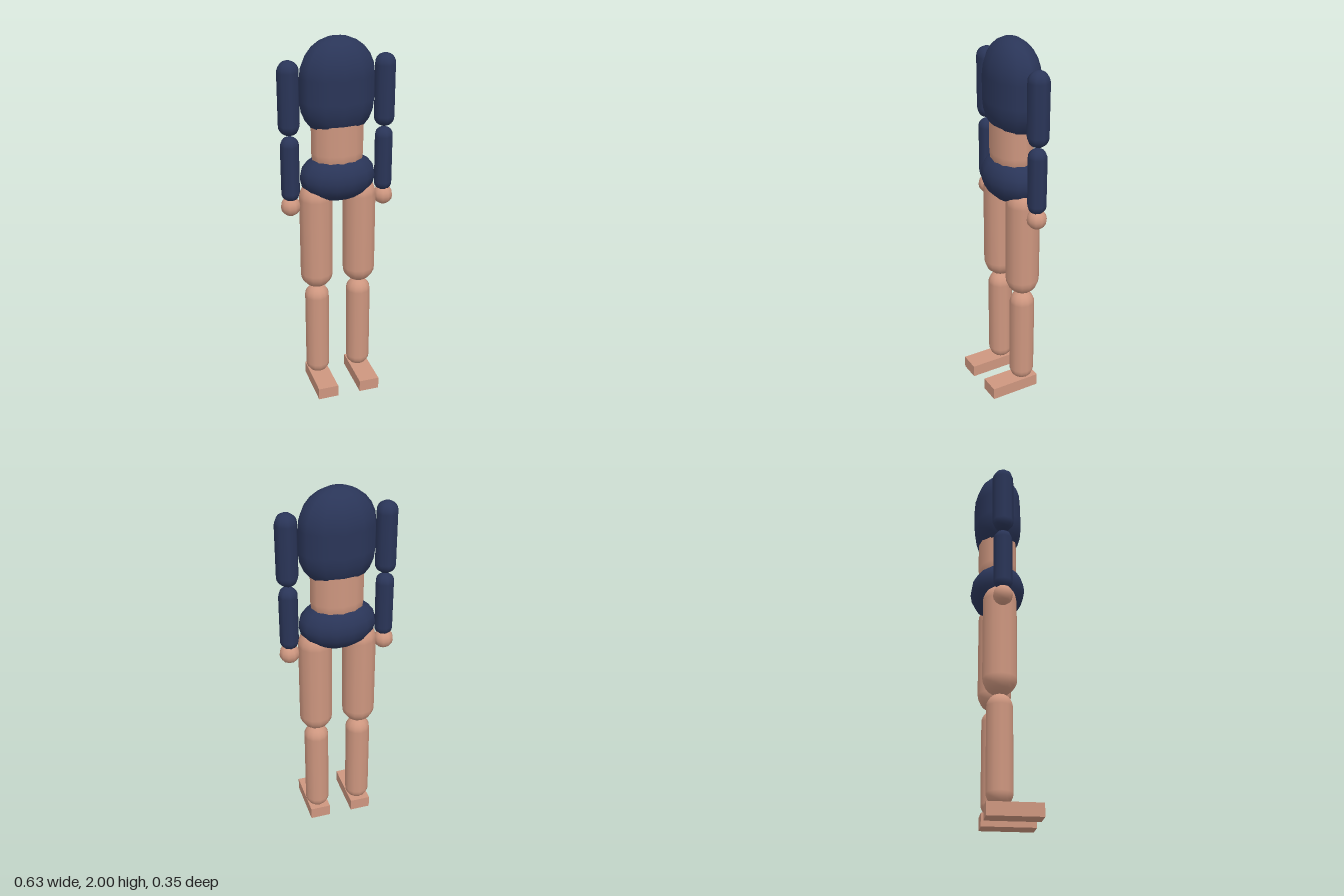
import * as THREE from 'three';

const AXIS_Z = -0.034; // depth of the body's centre line

export function createModel() {
  const model = new THREE.Group();
  const navy = new THREE.MeshStandardMaterial({ color: 0x2a3558 });
  const skin = new THREE.MeshStandardMaterial({ color: 0xcd967f });

  const add = (name, geometry, material, x, y, z = AXIS_Z) => {
    const mesh = new THREE.Mesh(geometry, material);
    mesh.name = name;
    mesh.position.set(x, y, z);
    model.add(mesh);
    return mesh;
  };

  // Round-ended limb or body section spanning bottom..top
  const capsule = (name, material, x, radius, bottom, top, sides) =>
    add(name, new THREE.CapsuleGeometry(radius, top - bottom - 2 * radius, 6, sides),
      material, x, (bottom + top) / 2);

  // Trunk: flattened front to back
  capsule('chest', navy, 0, 0.2, 1.48, 2, 12).scale.z = 0.66;
  capsule('waist', skin, 0, 0.142, 1.26, 1.7, 12).scale.z = 0.74;
  add('hips', new THREE.SphereGeometry(1, 14, 10), navy, 0, 1.265)
    .scale.set(0.205, 0.135, 0.147);

  // Arms and legs, mirrored
  for (const [side, s] of [['left', 1], ['right', -1]]) {
    capsule(side + 'UpperArm', navy, s * 0.256, 0.057, 1.51, 1.895, 8);
    capsule(side + 'Forearm', navy, s * 0.256, 0.05, 1.15, 1.505, 8);
    add(side + 'Hand', new THREE.SphereGeometry(0.053, 10, 8), skin, s * 0.258, 1.12);
    capsule(side + 'Thigh', skin, s * 0.121, 0.09, 0.62, 1.24, 12);
    capsule(side + 'Shin', skin, s * 0.121, 0.068, 0.053, 0.625, 12);
    add(side + 'Foot', new THREE.BoxGeometry(0.113, 0.068, 0.281), skin, s * 0.121, 0.034, 0.036);
  }
  return model;
}
